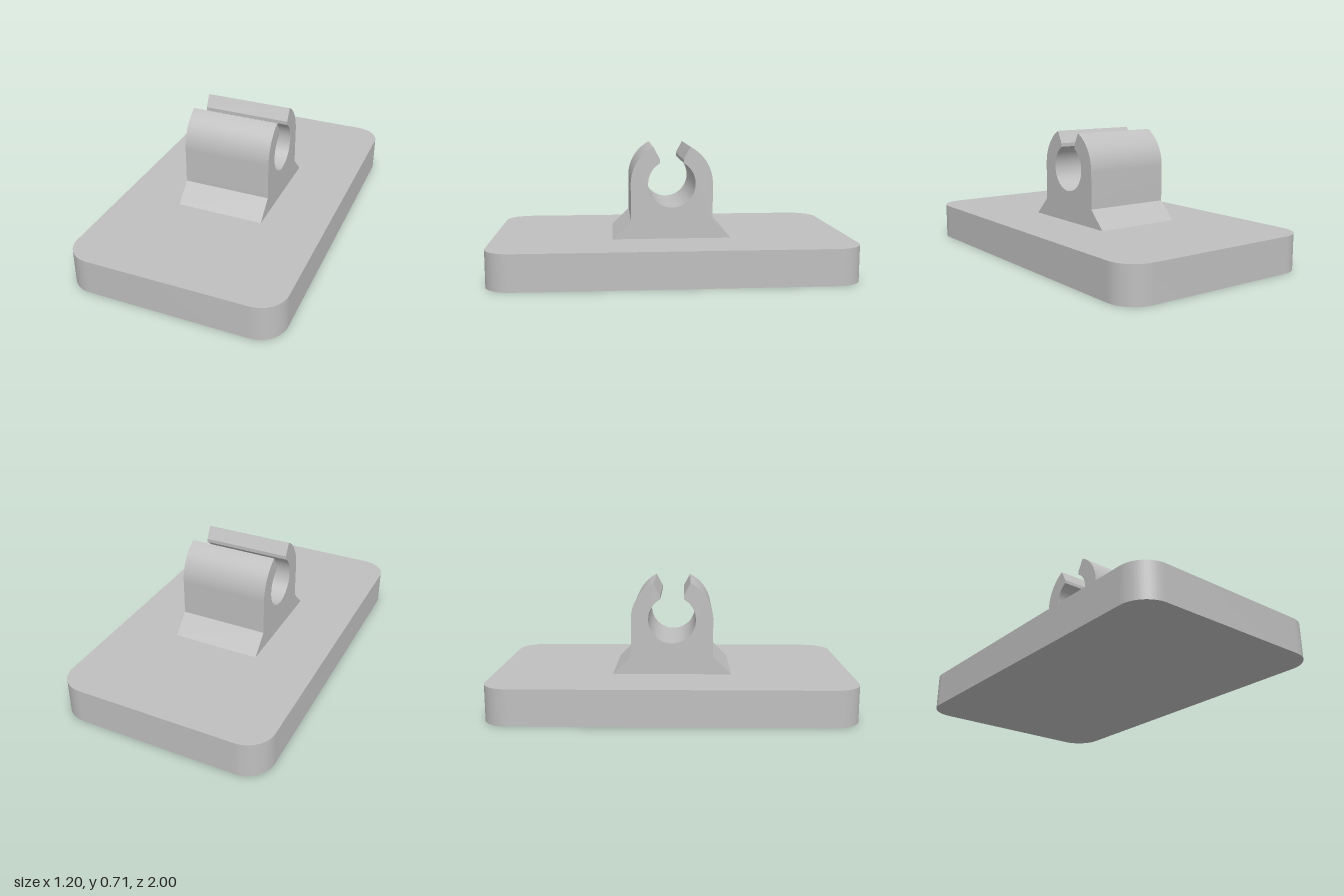
import * as THREE from 'three';
import { toCreasedNormals } from 'three/addons/utils/BufferGeometryUtils.js';

const extrude = (shape, depth) => toCreasedNormals(
  new THREE.ExtrudeGeometry(shape, { depth, bevelEnabled: false, curveSegments: 32 }), 0.45);

// Rectangle with rounded corners, centred on the origin
function roundedRect(w, h, r) {
  const s = new THREE.Shape();
  const x = w / 2 - r, y = h / 2 - r, q = Math.PI / 2;
  s.absarc(x, y, r, 0, q);
  s.absarc(-x, y, r, q, 2 * q);
  s.absarc(-x, -y, r, 2 * q, 3 * q);
  s.absarc(x, -y, r, 3 * q, 4 * q);
  s.closePath();
  return s;
}

// Side profile of the snap clip: flared foot, round jaws, open bore
function clipProfile() {
  const cy = 0.507, outer = 0.228, bore = 0.132, tip = 0.102, slot = 0.065;
  const a = Math.acos(tip / outer), b = Math.acos(slot / bore);
  const s = new THREE.Shape();
  s.moveTo(-0.33, 0.2);
  s.lineTo(0.33, 0.2);
  s.lineTo(outer, 0.302);
  s.lineTo(outer, cy);
  s.absarc(0, cy, outer, 0, a, false);
  s.lineTo(slot, 0.642);
  s.absarc(0, cy, bore, b, Math.PI - b, true);
  s.lineTo(-slot, 0.642);
  s.absarc(0, cy, outer, Math.PI - a, Math.PI, false);
  s.lineTo(-outer, 0.302);
  s.closePath();
  return s;
}

export function createModel() {
  const model = new THREE.Group();
  model.name = 'clipOnBase';
  const grey = new THREE.MeshStandardMaterial({ color: 0xbfbfbf });
  grey.name = 'grey';

  // Base plate
  const base = new THREE.Mesh(extrude(roundedRect(1.2, 2, 0.15), 0.2).rotateX(-Math.PI / 2), grey);
  base.name = 'basePlate';

  // Clip, running along x
  const width = 0.5;
  const clip = new THREE.Mesh(
    extrude(clipProfile(), width).translate(0, 0, -width / 2).rotateY(Math.PI / 2), grey);
  clip.name = 'snapClip';

  model.add(base, clip);
  return model;
}
